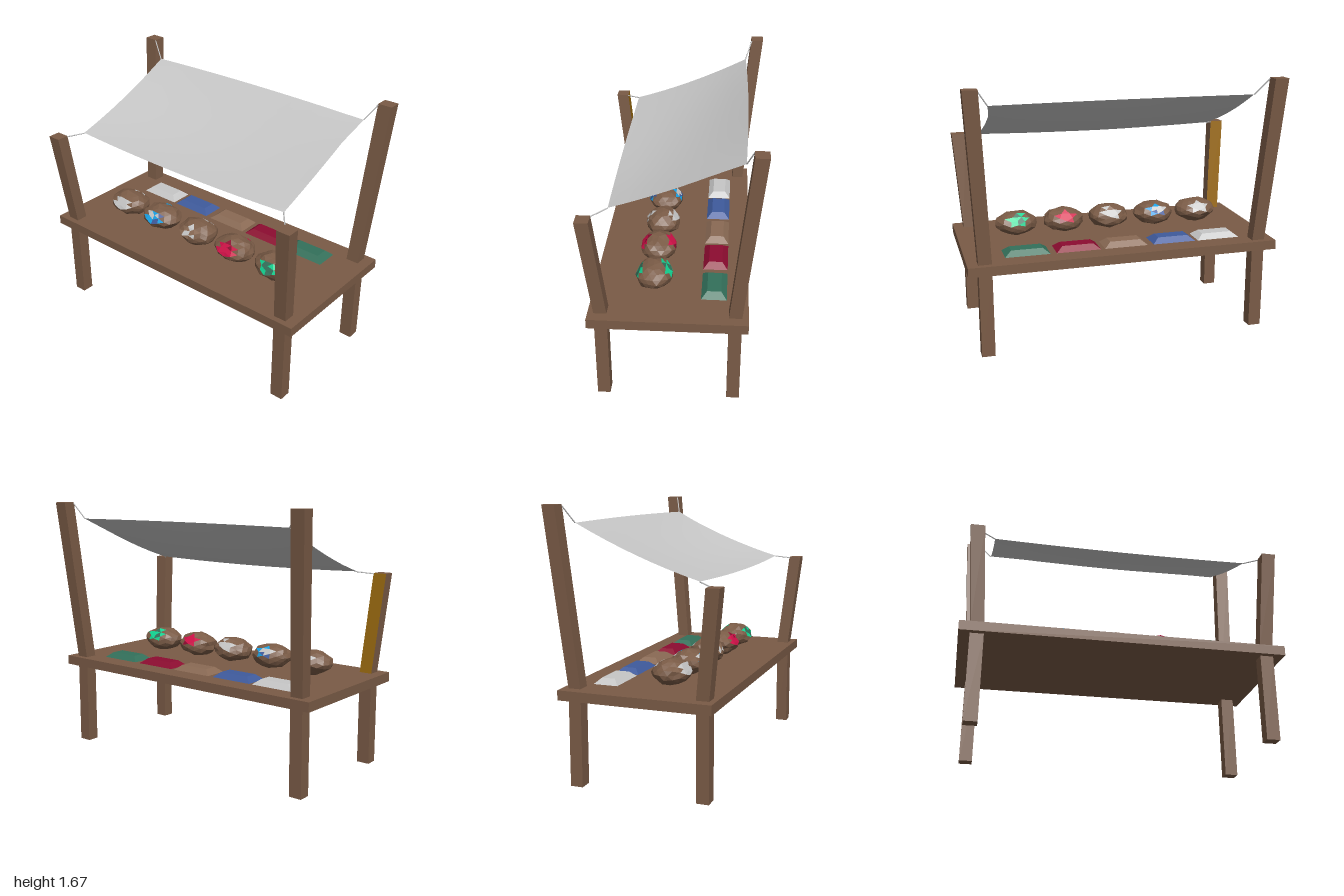
import * as THREE from 'three';

const mat = (name, color, side = THREE.FrontSide) => {
  const m = new THREE.MeshStandardMaterial({ color, side });
  m.name = name;
  return m;
};

// Box whose top rectangle can be scaled and shifted; stands on y = 0
function taperedBox(w, h, d, topW = w, topD = d, dx = 0, dz = 0) {
  const g = new THREE.BoxGeometry(w, h, d).translate(0, h / 2, 0);
  const p = g.attributes.position;
  for (let i = 0; i < p.count; i++) {
    if (p.getY(i) < h / 2) continue;
    p.setX(i, p.getX(i) * topW / w + dx);
    p.setZ(i, p.getZ(i) * topD / d + dz);
  }
  g.computeVertexNormals();
  return g;
}

function seeded(seed) {
  let s = seed;
  return () => (s = (s * 16807) % 2147483647) / 2147483647;
}

// Lumpy faceted rock with a crystal window on the front and on the back
function geodeGeometry(seed, crystalCount) {
  const rand = seeded(seed * 7919 + 13);
  const g = new THREE.IcosahedronGeometry(1, 2);
  const p = g.attributes.position;
  const windows = [
    [new THREE.Vector3(0, 0.42, 0.9).normalize(), 0.86],
    [new THREE.Vector3(0, 0.55, -0.83).normalize(), 0.9],
  ];
  const lumps = new Map();
  const v = new THREE.Vector3();
  for (let i = 0; i < p.count; i++) {
    v.fromBufferAttribute(p, i);
    const key = [v.x, v.y, v.z].map(n => Math.round(n * 1000)).join();
    if (!lumps.has(key)) lumps.set(key, 0.94 + rand() * 0.14);
    v.multiplyScalar(lumps.get(key));
    for (const [axis, cut] of windows) {
      const over = v.dot(axis) - cut;
      if (over > 0) v.addScaledVector(axis, -over);
    }
    p.setXYZ(i, v.x, v.y, v.z);
  }
  // one material group per triangle: 0 is rock, the rest are crystal
  const c = new THREE.Vector3();
  for (let i = 0; i < p.count; i += 3) {
    c.set(0, 0, 0);
    for (let k = 0; k < 3; k++) c.add(v.fromBufferAttribute(p, i + k));
    c.divideScalar(3);
    const inside = windows.some(([axis, cut]) => c.dot(axis) > cut - 0.05);
    g.addGroup(i, 3, inside ? 1 + Math.floor(rand() * crystalCount) : 0);
  }
  g.scale(0.135, 0.078, 0.116);
  g.computeVertexNormals();
  return g;
}

export function createModel() {
  const model = new THREE.Group();
  const wood = mat('wood brown', 0x7a5b46);
  const gold = mat('old gold', 0x9a6a10);
  const white = mat('cloth grey', 0xc6c6c6, THREE.DoubleSide);
  const blue = mat('deep blue', 0x3e5a9c);
  const sky = mat('bright blue', 0x18a4ea);
  const tan = mat('tan', 0x8a6a54);
  const ruby = mat('ruby red', 0xd01048);
  const wine = mat('wine red', 0x8c0c30);
  const emerald = mat('emerald green', 0x12d492);
  const pine = mat('pine green', 0x33705a);

  const add = (name, geometry, material, x = 0, y = 0, z = 0) => {
    const m = new THREE.Mesh(geometry, material);
    m.name = name;
    m.position.set(x, y, z);
    model.add(m);
    return m;
  };

  add('tableTop', taperedBox(2, 0.06, 0.945), wood, 0, 0.54, 0.0175);

  // Legs below, outward-leaning posts above, and the cords to the awning
  for (const s of [-1, 1]) {
    for (const front of [true, false]) {
      const end = front ? 'front' : 'back';
      const z = front ? 0.415 : -0.378;
      add(end + 'Leg', taperedBox(0.083, 0.54, 0.078), wood, s * 0.892, 0, z);
      const post = front
        ? taperedBox(0.083, 0.635, 0.078, 0.088, 0.08, s * 0.042, 0.07)
        : taperedBox(0.083, 1.065, 0.078, 0.09, 0.08, s * 0.058, -0.107);
      const painted = front && s < 0;
      add(end + 'Post', post, painted ? [wood, wood, wood, wood, wood, gold] : wood, s * 0.892, 0.6, z);

      const from = front ? [0.892, 1.23, 0.447] : [0.908, 1.66, -0.447];
      const to = front ? [0.818, 1.246, 0.357] : [s > 0 ? 0.84 : 0.822, 1.556, -0.407];
      const cord = new THREE.LineCurve3(
        new THREE.Vector3(s * from[0], from[1], from[2]),
        new THREE.Vector3(s * to[0], to[1], to[2]));
      add(end + 'Cord', new THREE.TubeGeometry(cord, 1, 0.004, 5), white);
    }
  }

  // Sagging awning sheet
  const cloth = new THREE.PlaneGeometry(1.64, 1, 10, 8).rotateX(-Math.PI / 2);
  const p = cloth.attributes.position;
  for (let i = 0; i < p.count; i++) {
    const x = p.getX(i);
    const t = 0.5 - p.getZ(i);           // 0 front edge, 1 back edge
    const mid = 1 - (x / 0.82) ** 2;     // 1 in the middle, 0 at the sides
    const dip = 4 * t * (1 - t);
    const pull = x > 0.81 ? 0.022 * Math.max(0, (t - 0.8) / 0.2) - 0.008 * dip : 0;
    p.setXYZ(i, x + pull,
      1.248 + 0.308 * t - 0.022 * dip - mid * (0.016 * (1 - t) + 0.03 * dip - 0.006 * t),
      0.357 - 0.764 * t + mid * (0.01 - 0.024 * t));
  }
  cloth.computeVertexNormals();
  add('awning', cloth, white);

  // Goods: a row of geodes in front, matching ingots behind
  const goods = [
    [-0.65, white, [white]],
    [-0.345, blue, [sky, blue, sky, white]],
    [-0.022, tan, [tan, tan, white]],
    [0.29, wine, [ruby, ruby, wine]],
    [0.615, pine, [emerald, emerald, pine]],
  ];
  goods.forEach(([x, bar, crystals], i) => {
    add('geode', geodeGeometry(i + 1, crystals.length), [wood, ...crystals], x, 0.685, 0.122);
    add('ingot', taperedBox(0.285, 0.033, 0.155, 0.2, 0.085), bar, x, 0.6, -0.247);
  });

  return model;
}
